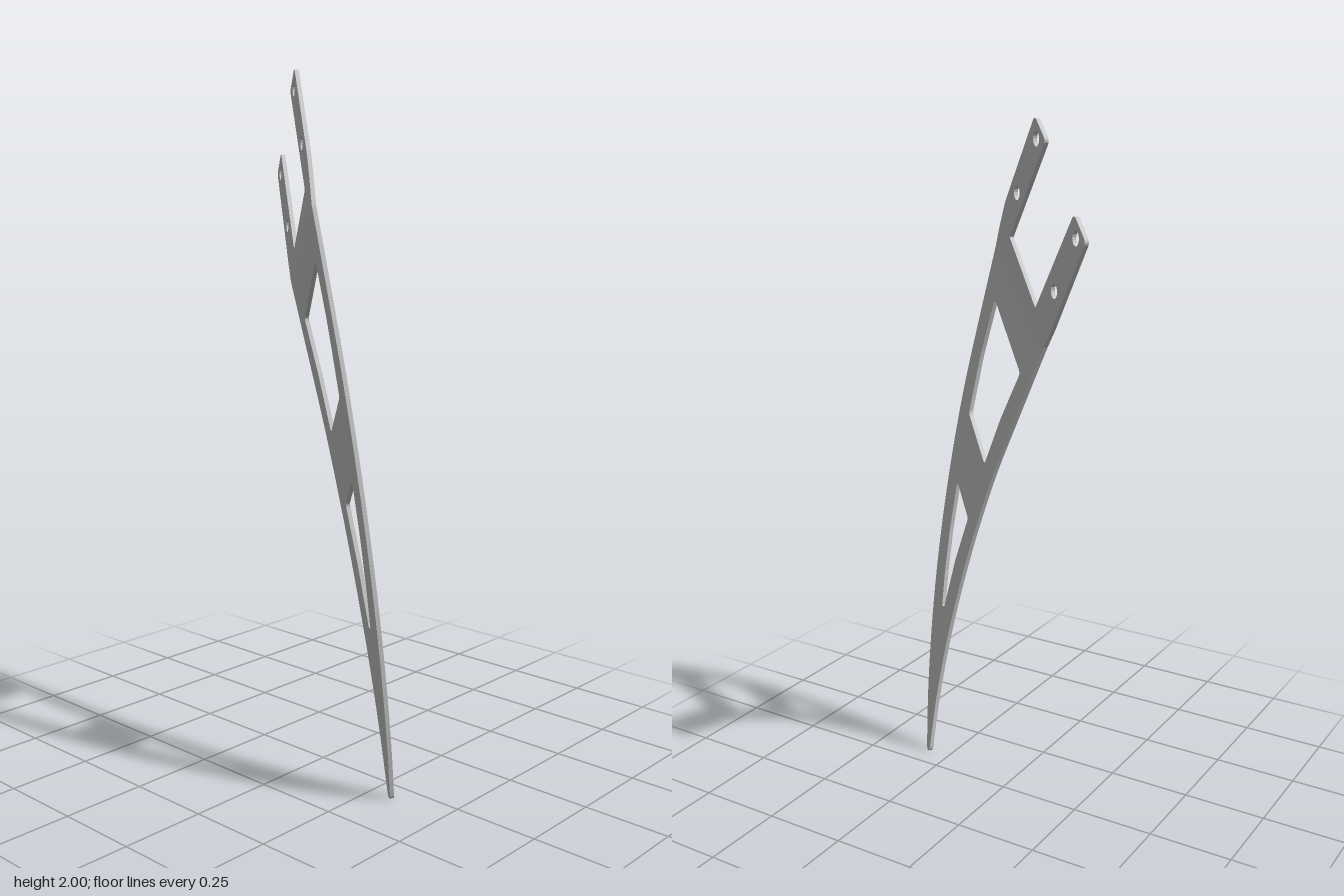
import * as THREE from 'three';
import { mergeGeometries, toCreasedNormals } from 'three/addons/utils/BufferGeometryUtils.js';

const THICKNESS = 0.012;

// The plate is two flat sheets meeting at a shallow fold
const upperPlane = (x, y) => 0.75 * x + 0.077;
const lowerPlane = (x, y) => 0.64 * x + 0.139 * y - 0.136;
const foldY = (x) => (0.11 * x + 0.213) / 0.139;
const normal = new THREE.Vector3(-0.57, -0.058, 0.82).normalize();

const vec = ([x, y]) => new THREE.Vector2(x, y);

// Closed path through corners [x, y, radius], each eased by its radius
function rounded(path, corners) {
  const pts = corners.map(vec);
  const n = pts.length;
  pts.forEach((p, i) => {
    const r = corners[i][2] ?? 0;
    const before = pts[(i + n - 1) % n].clone().sub(p).setLength(r).add(p);
    const after = pts[(i + 1) % n].clone().sub(p).setLength(r).add(p);
    if (i === 0) path.moveTo(before.x, before.y);
    else path.lineTo(before.x, before.y);
    if (r > 0) path.quadraticCurveTo(p.x, p.y, after.x, after.y);
  });
  path.closePath();
  return path;
}

// Extrude a front outline, lay it on its plane and open the seam at the fold
function sheet(shape, plane) {
  const flat = new THREE.ExtrudeGeometry(shape, {
    depth: THICKNESS, bevelEnabled: false, curveSegments: 8,
  });
  const src = flat.attributes.position;
  const out = [];
  const onFold = (i) => Math.abs(src.getY(i) - foldY(src.getX(i))) < 1e-4;
  for (let t = 0; t < src.count; t += 3) {
    if (onFold(t) && onFold(t + 1) && onFold(t + 2)) continue;
    for (let i = t; i < t + 3; i++) {
      const p = new THREE.Vector3().fromBufferAttribute(src, i);
      const offset = p.z - THICKNESS / 2;
      p.z = plane(p.x, p.y);
      p.addScaledVector(normal, offset);
      out.push(p.x, p.y, p.z);
    }
  }
  const geometry = new THREE.BufferGeometry();
  geometry.setAttribute('position', new THREE.Float32BufferAttribute(out, 3));
  return geometry;
}

export function createModel() {
  const group = new THREE.Group();
  group.name = 'curvedBracket';
  const innerFold = [-0.16, foldY(-0.16)];
  const outerFold = [0.122, foldY(0.122)];

  // Fork with two mounting tabs
  const fork = rounded(new THREE.Shape(), [
    innerFold,
    outerFold,
    [0.095, 1.695],
    [0.062, 1.765, 0.02],
    [-0.101, 2.003, 0.015],
    [-0.159, 1.944, 0.015],
    [0.036, 1.669, 0.006],
    [-0.112, 1.502, 0.006],
    [-0.304, 1.778, 0.015],
    [-0.361, 1.717, 0.015],
    [-0.2, 1.462],
  ]);
  // Bolt holes, round when seen square to the tab
  for (const [x, y] of [[-0.11, 1.945], [-0.005, 1.795], [-0.314, 1.719], [-0.211, 1.567]]) {
    fork.holes.push(new THREE.Path().absellipse(x, y, 0.016, 0.02, 0, Math.PI * 2));
  }

  // Tapering curved blade
  const outerEdge = [outerFold, [0.19, 1.4], [0.246, 1.2], [0.289, 1.0], [0.321, 0.8],
    [0.342, 0.6], [0.351, 0.4], [0.348, 0.2], [0.332, 0.015]].map(vec);
  const innerEdge = [[0.313, 0.015], [0.29, 0.2], [0.25, 0.4], [0.195, 0.6],
    [0.127, 0.8], [0.045, 1.0], [-0.055, 1.2], innerFold].map(vec);
  const blade = new THREE.Shape();
  blade.moveTo(...outerFold);
  blade.splineThru(outerEdge.slice(1));
  blade.bezierCurveTo(0.33, -0.005, 0.316, -0.005, 0.313, 0.015);
  blade.splineThru(innerEdge.slice(1));
  blade.closePath();

  // Lightening windows
  blade.holes.push(
    rounded(new THREE.Path(), [
      [0.107, 1.485, 0.012], [-0.054, 1.311, 0.012], [0.03, 1.16, 0.02],
      [0.1, 1.008, 0.012], [0.208, 1.127, 0.012], [0.165, 1.31, 0.03],
    ]),
    rounded(new THREE.Path(), [
      [0.25, 0.908, 0.016], [0.172, 0.82, 0.012], [0.23, 0.67, 0.02],
      [0.28, 0.497, 0.01], [0.293, 0.497, 0.006], [0.29, 0.6, 0.02], [0.276, 0.75, 0.02],
    ]),
  );

  const geometry = toCreasedNormals(
    mergeGeometries([sheet(fork, upperPlane), sheet(blade, lowerPlane)]), 0.2);
  const plate = new THREE.Mesh(geometry, new THREE.MeshStandardMaterial({ color: 0xcccccc }));
  plate.name = 'foldedPlate';
  group.add(plate);
  return group;
}
